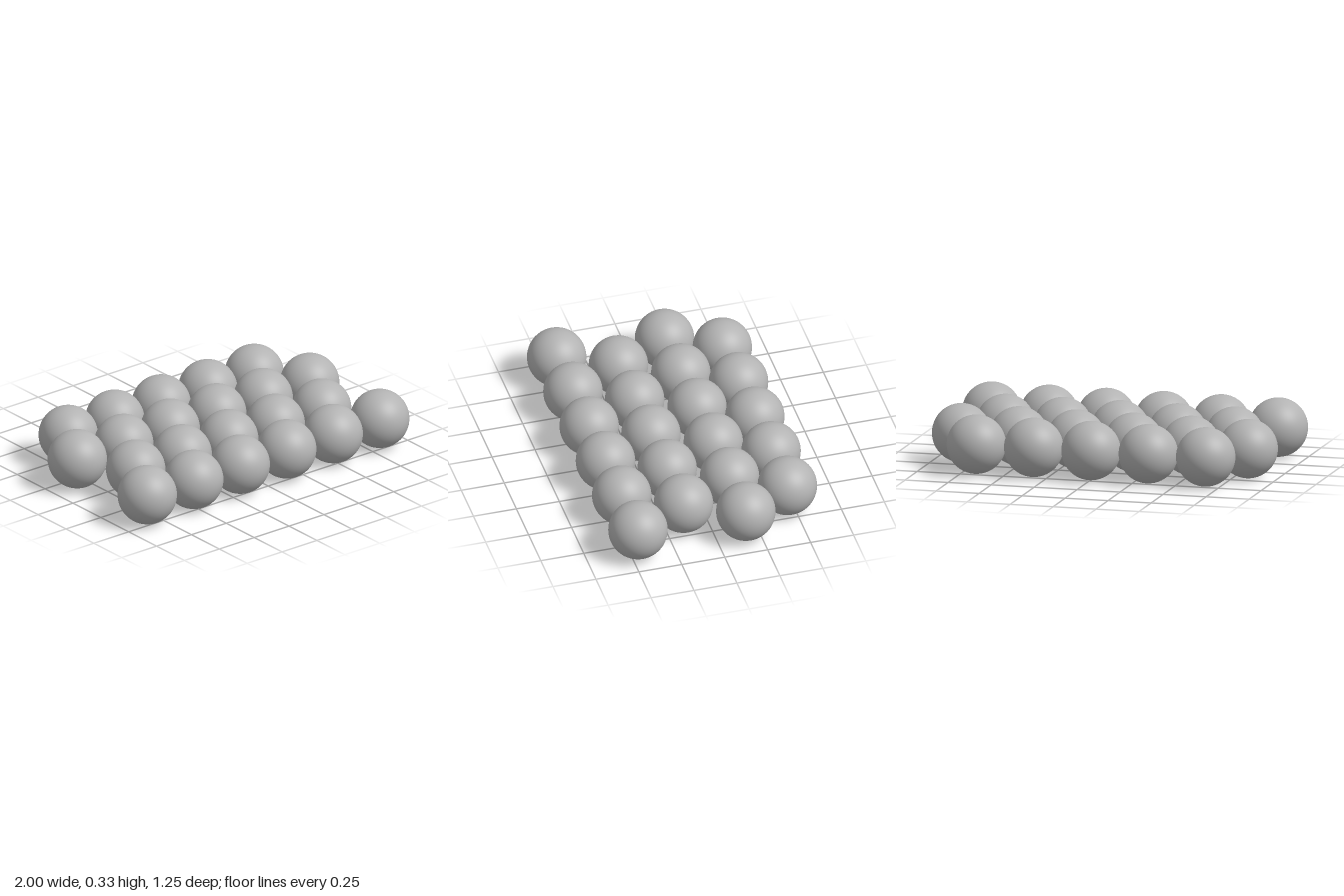
import * as THREE from 'three';

const RADIUS = 1 / 6;

// Staggered rows of touching balls, from back to front
const ROWS = [
  { name: 'backRow', z: -0.459, count: 5 },
  { name: 'middleBackRow', z: -0.17, count: 6 },
  { name: 'middleFrontRow', z: 0.146, count: 5 },
  { name: 'frontRow', z: 0.458, count: 6 },
];

export function createModel() {
  const model = new THREE.Group();
  model.name = 'ballLayer';

  const grey = new THREE.MeshStandardMaterial({ color: 0xb3b3b3 });
  grey.name = 'grey';
  const ballGeometry = new THREE.SphereGeometry(RADIUS, 48, 32);

  for (const { name, z, count } of ROWS) {
    const row = new THREE.Group();
    row.name = name;
    row.position.set(0, RADIUS, z);

    // Balls spaced one diameter apart, centred on x = 0
    for (let i = 0; i < count; i++) {
      const ball = new THREE.Mesh(ballGeometry, grey);
      ball.name = `ball${i + 1}`;
      ball.position.x = (i - (count - 1) / 2) * 2 * RADIUS;
      row.add(ball);
    }
    model.add(row);
  }
  return model;
}
